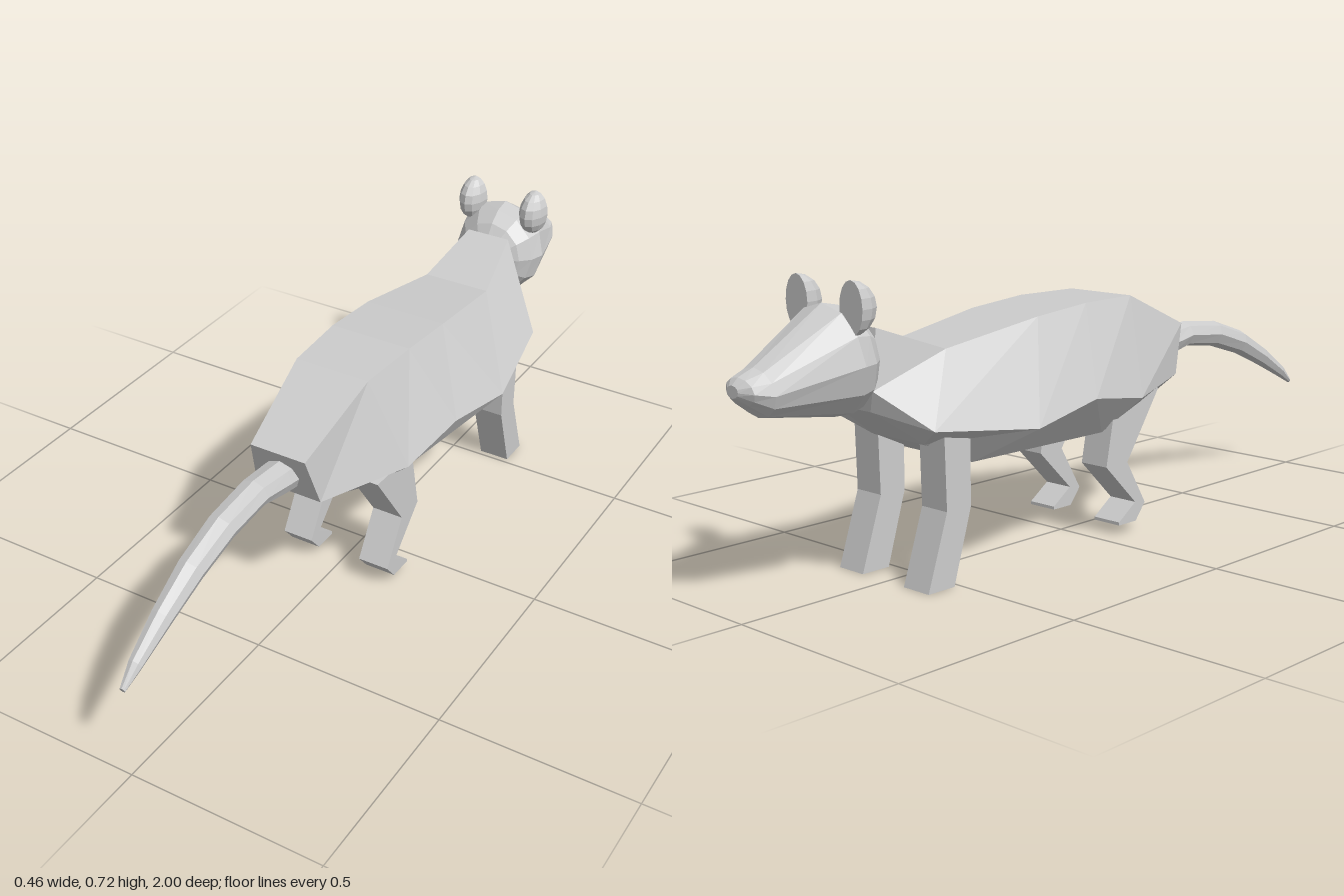
import * as THREE from 'three';

const grey = new THREE.MeshStandardMaterial({ color: 0xcccccc, flatShading: true });
grey.name = 'light grey';

function addMesh(parent, name, geometry) {
  const mesh = new THREE.Mesh(geometry, grey);
  mesh.name = name;
  parent.add(mesh);
  return mesh;
}

// Skin a list of rings (each counterclockwise seen from +z, running towards -z) and cap the ends
function loft(rings) {
  const pos = [];
  const tri = (a, b, c) => pos.push(...a, ...b, ...c);
  const n = rings[0].length;
  for (let i = 0; i < rings.length - 1; i++) {
    for (let j = 0; j < n; j++) {
      const k = (j + 1) % n;
      const a = rings[i][j], b = rings[i][k], c = rings[i + 1][k], d = rings[i + 1][j];
      tri(a, d, c);
      tri(a, c, b);
    }
  }
  const first = rings[0], last = rings[rings.length - 1];
  for (let j = 1; j < n - 1; j++) {
    tri(first[0], first[j], first[j + 1]);
    tri(last[0], last[j + 1], last[j]);
  }
  const geometry = new THREE.BufferGeometry();
  geometry.setAttribute('position', new THREE.Float32BufferAttribute(pos, 3));
  geometry.computeVertexNormals();
  return geometry;
}

// Elliptical ring; lean shifts its top backwards or forwards
function ovalRing(n, z, y, rx, ry, lean = 0) {
  return Array.from({ length: n }, (_, j) => {
    const a = (j / n) * Math.PI * 2;
    return [rx * Math.cos(a), y + ry * Math.sin(a), z + lean * Math.sin(a)];
  });
}

// Six-sided body ring from [halfWidth, y, z] of the back, flank and belly edges
function bodyRing([back, flank, belly]) {
  const right = ([x, y, z]) => [-x, y, z];
  return [flank, back, right(back), right(flank), right(belly), belly];
}

// Leg cut from a side outline of [z, y] points
function legGeometry(outline, width) {
  const shape = new THREE.Shape(outline.map(([z, y]) => new THREE.Vector2(-z, y)));
  const geometry = new THREE.ExtrudeGeometry(shape, { depth: width, bevelEnabled: false });
  geometry.translate(0, 0, -width / 2);
  geometry.rotateY(Math.PI / 2);
  return geometry;
}

export function createModel() {
  const model = new THREE.Group();
  model.name = 'longTailedAnimal';

  // Body, from rump to neck
  addMesh(model, 'body', loft([
    [[0.075, 0.5, 0.39], [0.09, 0.37, 0.35], [0.07, 0.362, 0.34]],
    [[0.1, 0.6, 0.15], [0.185, 0.355, 0.1], [0.1, 0.31, 0.18]],
    [[0.11, 0.6, -0.03], [0.21, 0.385, -0.1], [0.12, 0.27, 0.02]],
    [[0.11, 0.585, -0.2], [0.23, 0.35, -0.32], [0.11, 0.27, -0.42]],
    [[0.09, 0.54, -0.48], [0.18, 0.38, -0.6], [0.09, 0.33, -0.55]],
    [[0.06, 0.605, -0.66], [0.08, 0.47, -0.69], [0.06, 0.42, -0.68]],
  ].map(bodyRing)));

  // Head: rounded skull tapering to the snout
  const head = new THREE.Group();
  head.name = 'head';
  model.add(head);
  addMesh(head, 'skull', loft([
    [-0.65, 0.54, 0.045, 0.045, 0],
    [-0.675, 0.54, 0.09, 0.09, -0.005],
    [-0.705, 0.538, 0.115, 0.118, -0.01],
    [-0.745, 0.537, 0.127, 0.128, -0.015],
    [-0.94, 0.493, 0.068, 0.055, -0.005],
    [-0.98, 0.5, 0.05, 0.032, -0.005],
    [-1.0, 0.503, 0.02, 0.014, 0],
  ].map((r) => ovalRing(12, ...r))));

  // Ears: half domes with a flat face to the front
  for (const side of [1, -1]) {
    const ear = new THREE.Group();
    ear.name = side > 0 ? 'leftEar' : 'rightEar';
    ear.position.set(0.092 * side, 0.66, -0.755);
    ear.scale.set(0.038, 0.061, 0.065);
    addMesh(ear, 'earBack', new THREE.SphereGeometry(1, 6, 8, 0, Math.PI));
    addMesh(ear, 'earFace', new THREE.CircleGeometry(1, 16).rotateY(Math.PI));
    head.add(ear);
  }

  // Tail, from tip to root
  addMesh(model, 'tail', loft([
    [1.0, 0.252, 0.008, 0.006, 0.002],
    [0.95, 0.288, 0.018, 0.015, 0.008],
    [0.85, 0.346, 0.027, 0.024, 0.012],
    [0.74, 0.4, 0.034, 0.031, 0.012],
    [0.62, 0.438, 0.038, 0.034, 0.008],
    [0.49, 0.452, 0.04, 0.034, 0],
    [0.4, 0.437, 0.044, 0.04, -0.005],
    [0.33, 0.425, 0.045, 0.042, -0.005],
  ].map((r) => ovalRing(8, ...r))));

  // Legs
  const frontLeg = legGeometry([
    [-0.46, 0.36], [-0.46, 0.18], [-0.515, 0], [-0.595, 0], [-0.535, 0.18], [-0.54, 0.36],
  ], 0.083);
  const hindLeg = legGeometry([
    [0.21, 0.36], [0.09, 0.185], [0.16, 0.068], [0.125, 0.025],
    [0.06, 0.025], [0.06, 0.033], [0.122, 0.075], [0.01, 0.185], [0.045, 0.36],
  ], 0.083);
  for (const [side, x] of [['left', 0.122], ['right', -0.104]]) {
    addMesh(model, side + 'FrontLeg', frontLeg).position.x = x;
    addMesh(model, side + 'HindLeg', hindLeg).position.x = x;
  }

  return model;
}
